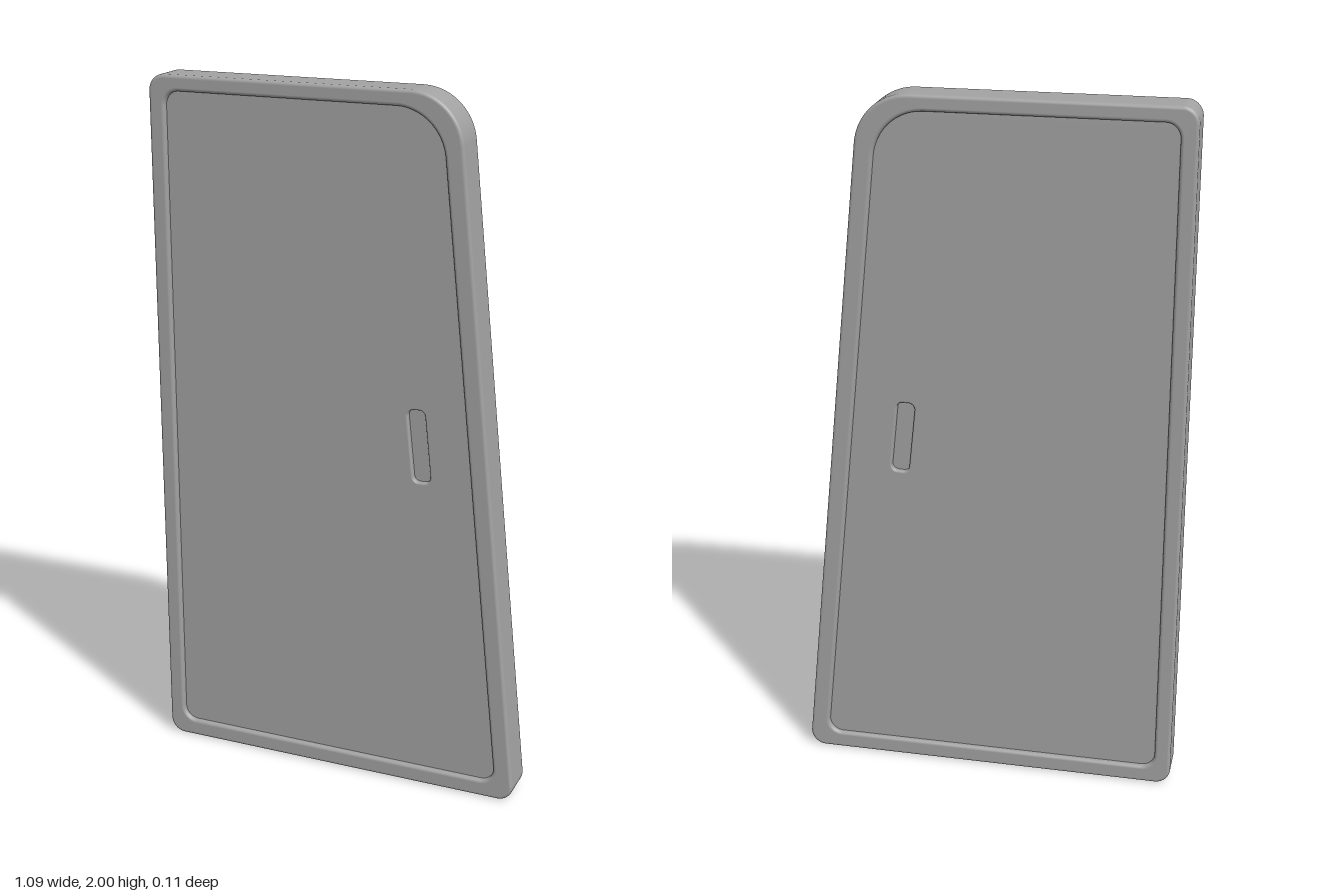
import * as THREE from 'three';
import { mergeVertices } from 'three/addons/utils/BufferGeometryUtils.js';

const material = new THREE.MeshStandardMaterial({ color: 0xa2a2a2 });

// Anticlockwise polygon with rounded corners; each corner is [x, y, radius]
function roundedPolygon(corners, PathType = THREE.Shape) {
  const path = new PathType();
  const n = corners.length;
  const point = (i) => new THREE.Vector2(corners[i % n][0], corners[i % n][1]);
  corners.forEach(([, , r], i) => {
    const p = point(i);
    const toPrev = point(i + n - 1).sub(p).normalize();
    const toNext = point(i + 1).sub(p).normalize();
    const half = Math.acos(toPrev.dot(toNext)) / 2;
    const centre = toPrev.clone().add(toNext).normalize().multiplyScalar(r / Math.sin(half)).add(p);
    // The arc begins on the incoming edge's outward normal
    const from = Math.atan2(-toPrev.y, -toPrev.x) - Math.PI / 2;
    path.absarc(centre.x, centre.y, r, from, from + Math.PI - 2 * half, false);
  });
  path.closePath();
  return path;
}

// Slab centred on z = 0, its rounded edges kept inside the outline
function softSlab(name, shape, depth, bevel) {
  let geometry = new THREE.ExtrudeGeometry(shape, {
    depth: depth - 2 * bevel,
    curveSegments: 12,
    bevelThickness: bevel,
    bevelSize: bevel,
    bevelOffset: -bevel,
    bevelSegments: 4,
  });
  geometry.translate(0, 0, -depth / 2 + bevel);
  // Weld for smooth normals, then keep the front and back faces truly flat
  geometry.deleteAttribute('normal');
  geometry.deleteAttribute('uv');
  geometry = mergeVertices(geometry, 1e-5);
  geometry.computeVertexNormals();
  const { position, normal } = geometry.attributes;
  for (let i = 0; i < position.count; i++) {
    const z = position.getZ(i);
    if (Math.abs(z) > depth / 2 - 1e-4) normal.setXYZ(i, 0, 0, Math.sign(z));
  }
  const mesh = new THREE.Mesh(geometry, material);
  mesh.name = name;
  return mesh;
}

export function createModel() {
  const door = new THREE.Group();
  door.name = 'door';

  const outer = [[-0.546, 0, 0.045], [0.553, 0, 0.045], [0.345, 2, 0.15], [-0.546, 2, 0.045]];
  const inner = [[-0.499, 0.051, 0.04], [0.494, 0.051, 0.04], [0.296, 1.956, 0.14], [-0.499, 1.956, 0.04]];
  const panel = [[-0.52, 0.03, 0.04], [0.515, 0.03, 0.04], [0.316, 1.975, 0.14], [-0.52, 1.975, 0.04]];
  const slot = [[0.23, 0.927, 0.018], [0.281, 0.93, 0.018], [0.259, 1.138, 0.018], [0.208, 1.135, 0.018]];
  const floor = [[0.21, 0.91], [0.3, 0.91], [0.28, 1.155], [0.19, 1.155]];

  // Raised border around the door
  const frameShape = roundedPolygon(outer);
  frameShape.holes.push(roundedPolygon(inner, THREE.Path));
  door.add(softSlab('frame', frameShape, 0.112, 0.01));

  // Recessed panel, its rim tucked into the frame, pierced for the handle
  const panelShape = roundedPolygon(panel);
  panelShape.holes.push(roundedPolygon(slot, THREE.Path));
  door.add(softSlab('panel', panelShape, 0.082, 0.006));

  // Floor of the grip pocket, seen from both faces
  const floorShape = new THREE.Shape(floor.map(([x, y]) => new THREE.Vector2(x, y)));
  const floorGeometry = new THREE.ExtrudeGeometry(floorShape, { depth: 0.05, bevelEnabled: false });
  floorGeometry.translate(0, 0, -0.025);
  const pocketFloor = new THREE.Mesh(floorGeometry, material);
  pocketFloor.name = 'handlePocketFloor';
  door.add(pocketFloor);

  return door;
}
